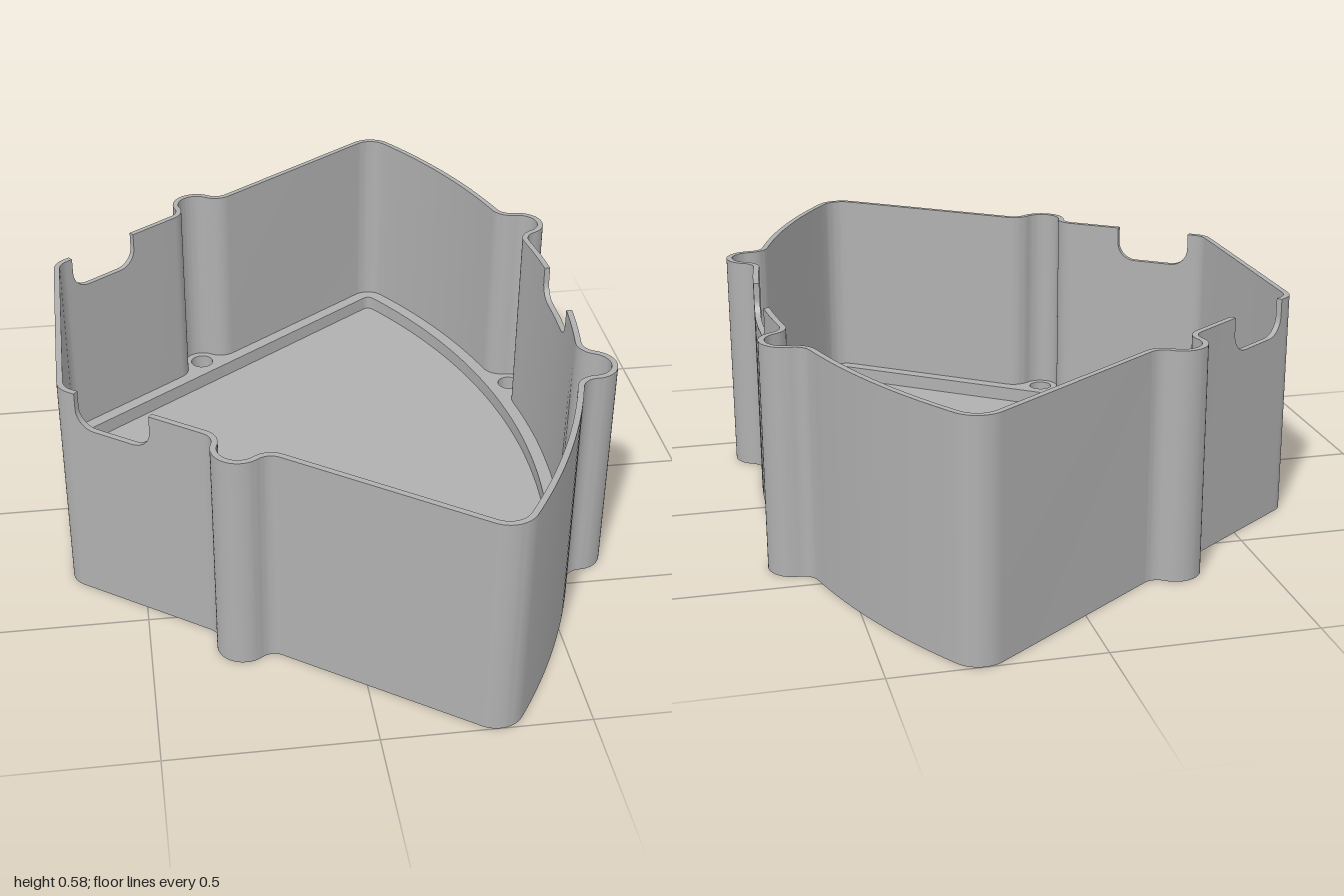
import * as THREE from 'three';
import { toCreasedNormals } from 'three/addons/utils/BufferGeometryUtils.js';

const H = 0.58;            // wall height
const WALL = 0.015;        // wall thickness
const BASE = 0.015;        // base plate thickness
const LEDGE = 0.055;       // height of the ledge around the recess
const RIM = 0.05;          // recess inset from the outer face
const BOSS_R = 0.065, BLEND_R = 0.04, HOLE_R = 0.032;
const SIDE_BOSS = [-0.275, 0.627], ARC_BOSS = [0.613, 0.382];

// Plan layout: x and z of one half; the other half is mirrored in z
const CX = -1.075;                                  // centre of the curved wall
const TIP = { x: 0.28, z: 0.93, r: 0.07 };          // outer corner
const TILT = Math.PI / 5;                           // angle of the side wall
const D = [Math.cos(TILT), Math.sin(TILT)], N = [-D[1], D[0]];
const T = [TIP.x + TIP.r * N[0], TIP.z + TIP.r * N[1]];
const ARC_R = Math.hypot(TIP.x - CX, TIP.z) + TIP.r;
const A0 = Math.atan2(TIP.z, TIP.x - CX);
const END = { x: -0.62, r: 0.06 };                  // corner at the narrow end
END.z = TIP.z + (TIP.r - END.r - (END.x - TIP.x) * N[0]) / N[1];

// Points are [x, z, wall top]
function arc(cx, cz, r, from, to, steps) {
  return Array.from({ length: steps + 1 }, (_, i) => {
    const a = from + (to - from) * i / steps;
    return [cx + r * Math.cos(a), cz + r * Math.sin(a), H];
  });
}

// Boss bulge with concave blends, in wall coordinates (along, outward)
function bulge(t, n, w) {
  const dt = Math.sqrt((BOSS_R + BLEND_R) ** 2 - (BLEND_R - n) ** 2);
  const phi = Math.atan2(BLEND_R - n, dt);
  return [
    ...arc(t - dt, BLEND_R, BLEND_R + w, -Math.PI / 2, -phi, 8),
    ...arc(t, n, BOSS_R - w, Math.PI - phi, phi, 20),
    ...arc(t + dt, BLEND_R, BLEND_R + w, Math.PI + phi, Math.PI * 1.5, 8),
  ];
}

// First half of a rounded notch in the top edge
function notchHalf(mid, halfWidth, depth, r, w) {
  const pts = [[mid - halfWidth, -w, H]];
  for (let k = 0; k <= 8; k++) {
    const a = k / 8 * Math.PI / 2;
    pts.push([mid - halfWidth + r * (1 - Math.cos(a)), -w, H - depth + r * (1 - Math.sin(a))]);
  }
  return pts;
}

// Plain wall between two distances
function plain(from, to, w) {
  const steps = Math.max(2, Math.ceil((to - from) / 0.03)), pts = [];
  for (let i = 1; i < steps; i++) pts.push([from + (to - from) * i / steps, -w, H]);
  return pts;
}

// Closed outline, inset by w, with or without the boss bulges
function outline(w, bosses = true) {
  const onSide = ([t, n, y]) => [T[0] + D[0] * t + N[0] * n, T[1] + D[1] * t + N[1] * n, y];
  const onArc = ([t, n, y]) => {
    const a = A0 - t / ARC_R;
    return [CX + (ARC_R + n) * Math.cos(a), (ARC_R + n) * Math.sin(a), y];
  };
  const half = [[END.x - END.r + w, 0, H]];
  half.push(...arc(END.x, END.z, END.r - w, Math.PI, Math.PI / 2 + TILT, 8));

  // straight side wall
  const bx = SIDE_BOSS[0] - T[0], bz = SIDE_BOSS[1] - T[1];
  const first = notchHalf(-0.981, 0.105, 0.093, 0.05, w);
  const second = first.map(([t, n, y]) => [-1.962 - t, n, y]).reverse();
  const side = [...first, ...second];
  if (bosses) side.push(...bulge(bx * D[0] + bz * D[1], bx * N[0] + bz * N[1], w));
  half.push(...side.map(onSide));
  half.push(...arc(TIP.x, TIP.z, TIP.r - w, Math.PI / 2 + TILT, A0, 12));

  // curved wall, up to the middle of its notch
  const length = A0 * ARC_R;
  const bt = (A0 - Math.atan2(ARC_BOSS[1], ARC_BOSS[0] - CX)) * ARC_R;
  const bn = Math.hypot(ARC_BOSS[0] - CX, ARC_BOSS[1]) - ARC_R;
  const curve = [
    ...plain(0, bt - 0.105, w),
    ...(bosses ? bulge(bt, bn, w) : plain(bt - 0.12, bt + 0.12, w)),
    ...plain(bt + 0.105, length - 0.115, w),
    ...notchHalf(length, 0.115, 0.085, 0.045, w),
    [length, -w, H - 0.085],
  ];
  half.push(...curve.map(onArc));
  const mirrored = half.slice(1, -1).reverse().map(([x, z, y]) => [x, -z, y]);
  return [...half, ...mirrored];
}

// Wall: rectangular cross-sections joined around the outline
function wallGeometry() {
  const outer = outline(0), inner = outline(WALL), pos = [], index = [];
  const count = outer.length;
  outer.forEach(([x, z, y], i) => {
    const [u, v] = inner[i];
    pos.push(x, 0, z, x, y, z, u, y, v, u, 0, v);
    const a = i * 4, b = ((i + 1) % count) * 4;
    for (let j = 0; j < 4; j++) {
      const k = (j + 1) % 4;
      index.push(a + j, b + j, b + k, a + j, b + k, a + k);
    }
  });
  const g = new THREE.BufferGeometry();
  g.setAttribute('position', new THREE.Float32BufferAttribute(pos, 3));
  g.setIndex(index);
  return toCreasedNormals(g, 0.5);
}

// Flat plate from a plan outline
function plate(points, bottom, top, holes = []) {
  const path = pts => pts
    .filter(([x, z], i) => i === 0 || Math.hypot(x - pts[i - 1][0], z - pts[i - 1][1]) > 1e-5)
    .map(([x, z]) => new THREE.Vector2(x, -z));
  const shape = new THREE.Shape(path(points));
  holes.forEach(h => shape.holes.push(new THREE.Path(path(h))));
  const g = new THREE.ExtrudeGeometry(shape, { depth: top - bottom, bevelEnabled: false });
  g.rotateX(-Math.PI / 2).translate(0, bottom, 0);
  return toCreasedNormals(g, 0.5);
}

export function createModel() {
  const group = new THREE.Group();
  const grey = new THREE.MeshStandardMaterial({ color: 0xb0b0b0 });
  grey.name = 'grey plastic';
  const add = (name, geometry) => {
    const mesh = new THREE.Mesh(geometry, grey);
    mesh.name = name;
    group.add(mesh);
  };

  // screw holes in the four bosses
  const screwHoles = [SIDE_BOSS, ARC_BOSS].flatMap(([x, z]) =>
    [z, -z].map(s => arc(x, s, HOLE_R, 0, Math.PI * 2 * 23 / 24, 23)));

  add('wall', wallGeometry());
  add('basePlate', plate(outline(WALL), 0, BASE));
  add('ledge', plate(outline(WALL), BASE, LEDGE, [outline(RIM, false), ...screwHoles]));
  return group;
}
